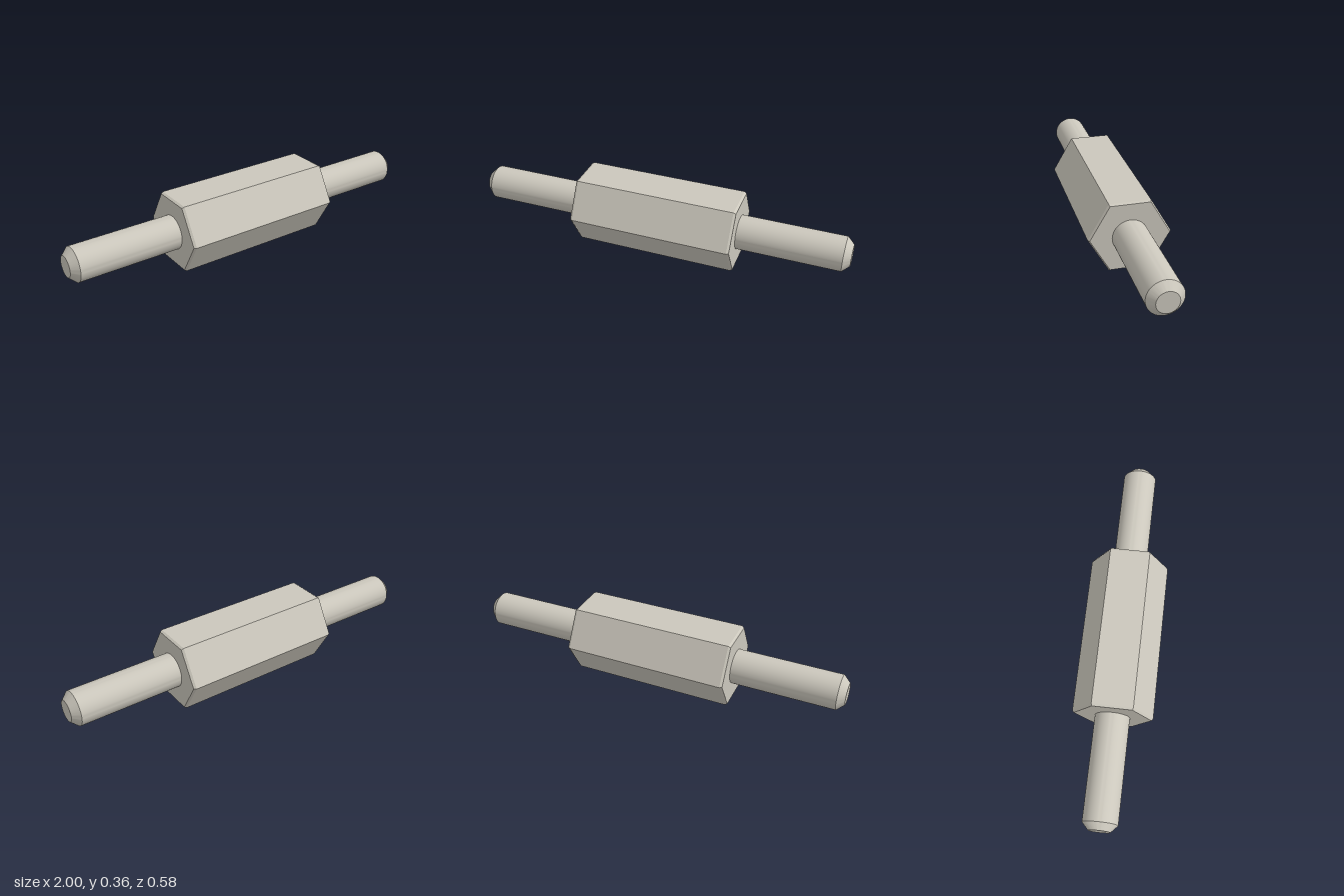
import * as THREE from 'three';
import { toCreasedNormals } from 'three/addons/utils/BufferGeometryUtils.js';

// Chamfered bar along x, closed at both ends
function chamferedBar(name, halfLength, radius, axial, radial, sides, material) {
  const profile = [
    [0, -halfLength],
    [radius - radial, -halfLength],
    [radius, -halfLength + axial],
    [radius, halfLength - axial],
    [radius - radial, halfLength],
    [0, halfLength],
  ].map(([r, y]) => new THREE.Vector2(r, y));
  const geometry = new THREE.LatheGeometry(profile, sides);
  geometry.rotateZ(-Math.PI / 2);
  const mesh = new THREE.Mesh(toCreasedNormals(geometry, 0.25), material);
  mesh.name = name;
  return mesh;
}

export function createModel() {
  const model = new THREE.Group();
  model.name = 'hexStandoff';
  const metal = new THREE.MeshStandardMaterial({ color: 0xcbc7bc });
  metal.name = 'pale metal';

  const body = new THREE.Group();
  body.name = 'standoff';
  // Hexagonal middle, flats on top and bottom
  body.add(chamferedBar('hexBody', 0.434, 0.209, 0.012, 0.008, 6, metal));
  // Round rod whose ends form the two studs
  body.add(chamferedBar('studRod', 1.011, 0.09, 0.037, 0.035, 64, metal));

  body.position.y = 0.181;
  body.rotation.y = -THREE.MathUtils.degToRad(12);
  model.add(body);
  return model;
}
